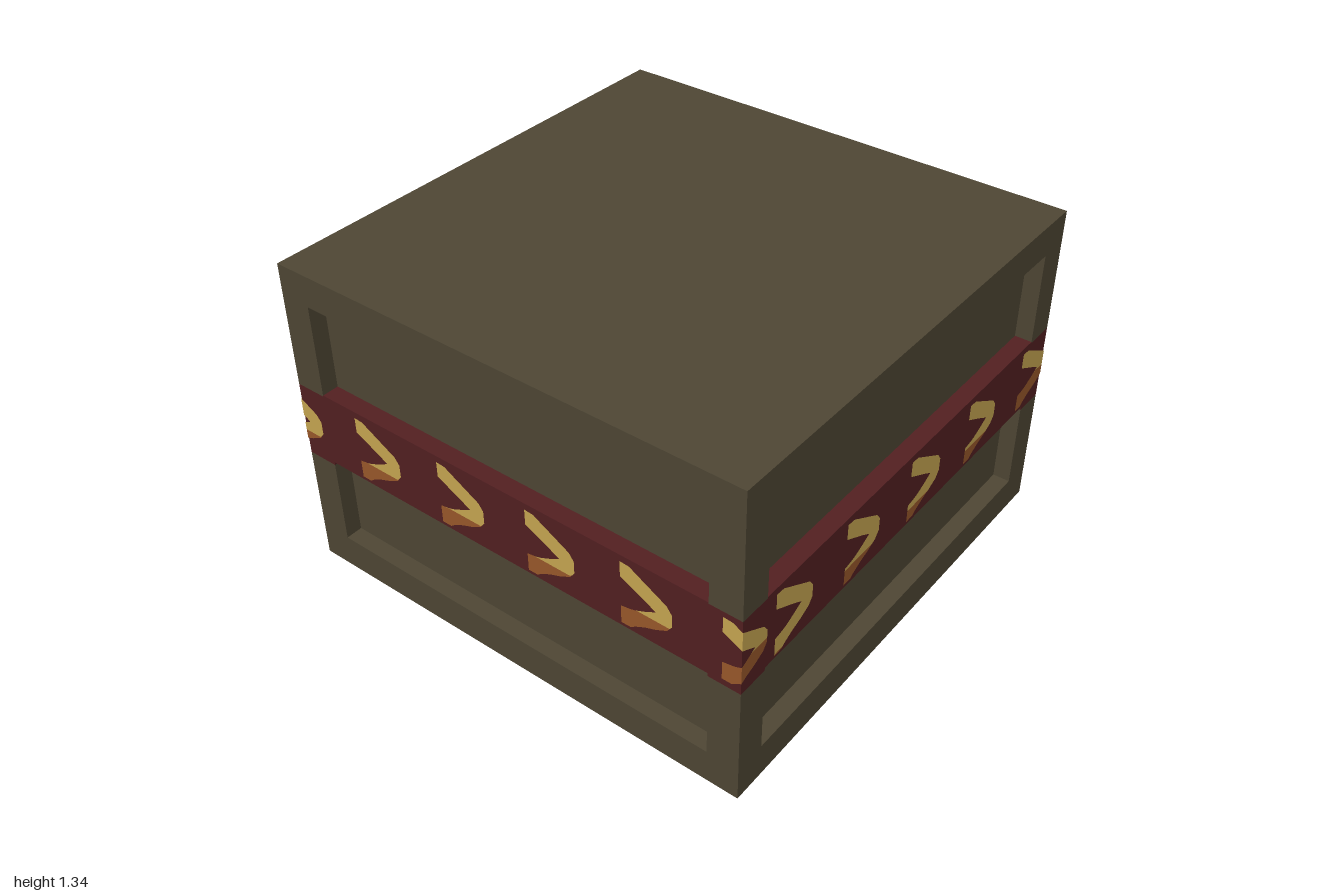
import * as THREE from 'three';

const olive = new THREE.MeshStandardMaterial({ name: 'olive casing', color: 0x4e4634 });
const red = new THREE.MeshStandardMaterial({ name: 'dark red band', color: 0x521f21 });
const yellow = new THREE.MeshStandardMaterial({ name: 'yellow paint', color: 0xc6a551 });
const orange = new THREE.MeshStandardMaterial({ name: 'orange paint', color: 0x98582a });

const HEIGHT = 1.335, RIM = 0.87, CORE = 0.93, PAINT = 1.002;

// Box from its centre in plan and its bottom and top heights
function box(name, material, w, d, y0, y1, x = 0, z = 0) {
  const mesh = new THREE.Mesh(new THREE.BoxGeometry(w, y1 - y0, d), material);
  mesh.name = name;
  mesh.position.set(x, (y0 + y1) / 2, z);
  return mesh;
}

// Point on the band: s runs round the perimeter, two units per side
function onBand(s, y) {
  const side = Math.floor((s + 1) / 2), a = side * Math.PI / 2;
  const u = (s - side * 2) * PAINT, c = Math.cos(a), n = Math.sin(a);
  return [u * c + PAINT * n, y, -u * n + PAINT * c];
}

// Arrow columns: offset, upper arm top and bottom, lower arm top and bottom
const COLUMNS = [
  [0, 0.80, 0.735, 0.605, 0.53],
  [0.04, 0.797, 0.715, 0.612, 0.53],
  [0.06, 0.785, 0.705, 0.618, 0.545],
  [0.10, 0.763, 0.685, 0.636, 0.565],
  [0.145, 0.738, 0.66, 0.66, 0.582],
  [0.19, 0.713, 0.66, 0.66, 0.605],
  [0.21, 0.685, 0.66, 0.66, 0.632],
];

function columnAt(t) {
  const i = Math.min(COLUMNS.findIndex((c) => c[0] >= t - 1e-9), COLUMNS.length - 1);
  if (i <= 0) return COLUMNS[0];
  const a = COLUMNS[i - 1], b = COLUMNS[i], f = (t - a[0]) / (b[0] - a[0]);
  return a.map((v, j) => v + (b[j] - v) * f);
}

// Add a strip between two edges that are functions of a column
function addStrip(out, start, columns, top, bottom) {
  for (let i = 0; i + 1 < columns.length; i++) {
    const a = columns[i], b = columns[i + 1];
    const p = onBand(start + a[0], bottom(a)), q = onBand(start + b[0], bottom(b));
    const r = onBand(start + b[0], top(b)), s = onBand(start + a[0], top(a));
    out.push(...p, ...q, ...r, ...p, ...r, ...s);
  }
}

function paintMesh(name, material, positions) {
  const g = new THREE.BufferGeometry();
  g.setAttribute('position', new THREE.Float32BufferAttribute(positions, 3));
  g.computeVertexNormals();
  const mesh = new THREE.Mesh(g, material);
  mesh.name = name;
  return mesh;
}

// Height up to which the lower arm of each arrow is orange
const CUTS = [0.535, 0.595, 0.58, 0.59, 0.65, 0.65, 0.615, 0.565, 0.55, 0.57,
  0.6, 0.6, 0.6, 0.6, 0.61, 0.61, 0.61, 0.61, 0.62, 0.65];

export function createModel() {
  const group = new THREE.Group();
  group.name = 'crate';

  // Casing: recessed core, top and bottom slabs
  group.add(box('recessedPanels', olive, CORE * 2, CORE * 2, 0.1, 1.25));
  group.add(box('bottomSlab', olive, 2, 2, 0, 0.14));
  group.add(box('topSlab', olive, 2, 2, 1.205, HEIGHT));

  // Corner posts, red where the band crosses them
  const w = 1 - RIM, c = (1 + RIM) / 2;
  for (const x of [-c, c]) for (const z of [-c, c]) {
    group.add(box('lowerCornerPost', olive, w, w, 0.14, 0.502, x, z));
    group.add(box('bandCorner', red, w, w, 0.502, 0.82, x, z));
    group.add(box('upperCornerPost', olive, w, w, 0.82, 1.205, x, z));
  }

  // Raised band across the four sides
  group.add(box('bandFrontBack', red, RIM * 2, 2, 0.515, 0.825));
  group.add(box('bandSides', red, 2, RIM * 2, 0.515, 0.825));

  // Painted arrows running round the band, folded at the corners
  const light = [], dark = [];
  CUTS.forEach((cut, k) => {
    const start = -0.82 + k * 0.4076;
    const corner = Math.ceil((start + 1) / 2) * 2 - 1 - start;
    const ts = COLUMNS.map((col) => col[0]);
    for (let i = 1; i < 21; i++) ts.push(i * 0.01);
    if (corner > 0 && corner < 0.21) ts.push(corner);
    const columns = [...new Set(ts.map((t) => +t.toFixed(4)))].sort((a, b) => a - b).map(columnAt);
    const split = (col) => Math.max(col[4], Math.min(col[3], cut));
    addStrip(light, start, columns, (col) => col[1], (col) => col[2]);
    addStrip(light, start, columns, (col) => col[3], split);
    addStrip(dark, start, columns, split, (col) => col[4]);
  });
  group.add(paintMesh('yellowArrows', yellow, light));
  group.add(paintMesh('orangeArrowShades', orange, dark));
  return group;
}
